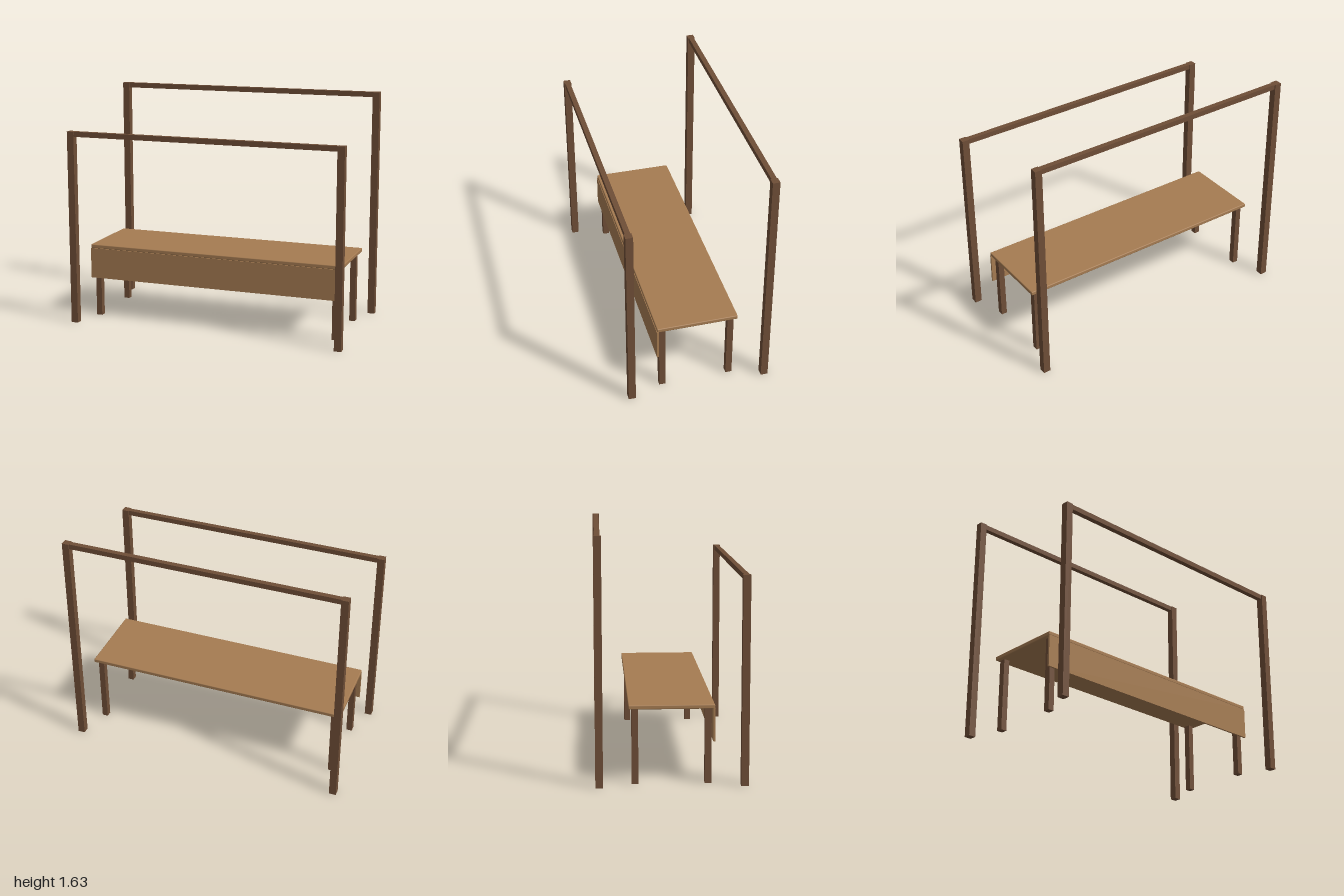
import * as THREE from 'three';
import { RoundedBoxGeometry } from 'three/addons/geometries/RoundedBoxGeometry.js';

export function createModel() {
  const model = new THREE.Group();
  model.name = 'tableWithFrames';

  const darkWood = new THREE.MeshStandardMaterial({ color: 0x6f4e37 });
  darkWood.name = 'darkWood';
  const lightWood = new THREE.MeshStandardMaterial({ color: 0xa67c52 });
  lightWood.name = 'lightWood';

  const add = (parent, name, geometry, material, x, y, z) => {
    const mesh = new THREE.Mesh(geometry, material);
    mesh.name = name;
    mesh.position.set(x, y, z);
    parent.add(mesh);
  };

  // Upright frames: two square posts joined by a slimmer top rail
  const addFrame = (name, height, z) => {
    const frame = new THREE.Group();
    frame.name = name;
    const post = 0.05, rail = 0.036;
    for (const side of [-1, 1]) {
      add(frame, side > 0 ? 'leftPost' : 'rightPost',
        new THREE.BoxGeometry(post, height, post), darkWood,
        side * (1 - post / 2), height / 2, z);
    }
    add(frame, 'topRail', new THREE.BoxGeometry(2 - 2 * post, rail, rail), darkWood,
      0, height - rail / 2, z);
    model.add(frame);
  };
  addFrame('frontFrame', 1.385, 0.475);
  addFrame('backFrame', 1.635, -0.475);

  // Table: softly rounded top, four legs and a hanging front panel
  const table = new THREE.Group();
  table.name = 'table';
  model.add(table);
  const underside = 0.505;
  add(table, 'tableTop', new RoundedBoxGeometry(1.88, 0.028, 0.564, 2, 0.006), lightWood,
    0, underside + 0.014, 0);
  add(table, 'frontPanel', new THREE.BoxGeometry(1.88, 0.22, 0.013), lightWood,
    0, underside - 0.11, 0.278);
  for (const x of [-0.892, 0.892]) {
    for (const z of [-0.24, 0.24]) {
      add(table, 'tableLeg', new THREE.BoxGeometry(0.042, underside, 0.044), darkWood,
        x, underside / 2, z);
    }
  }

  return model;
}
